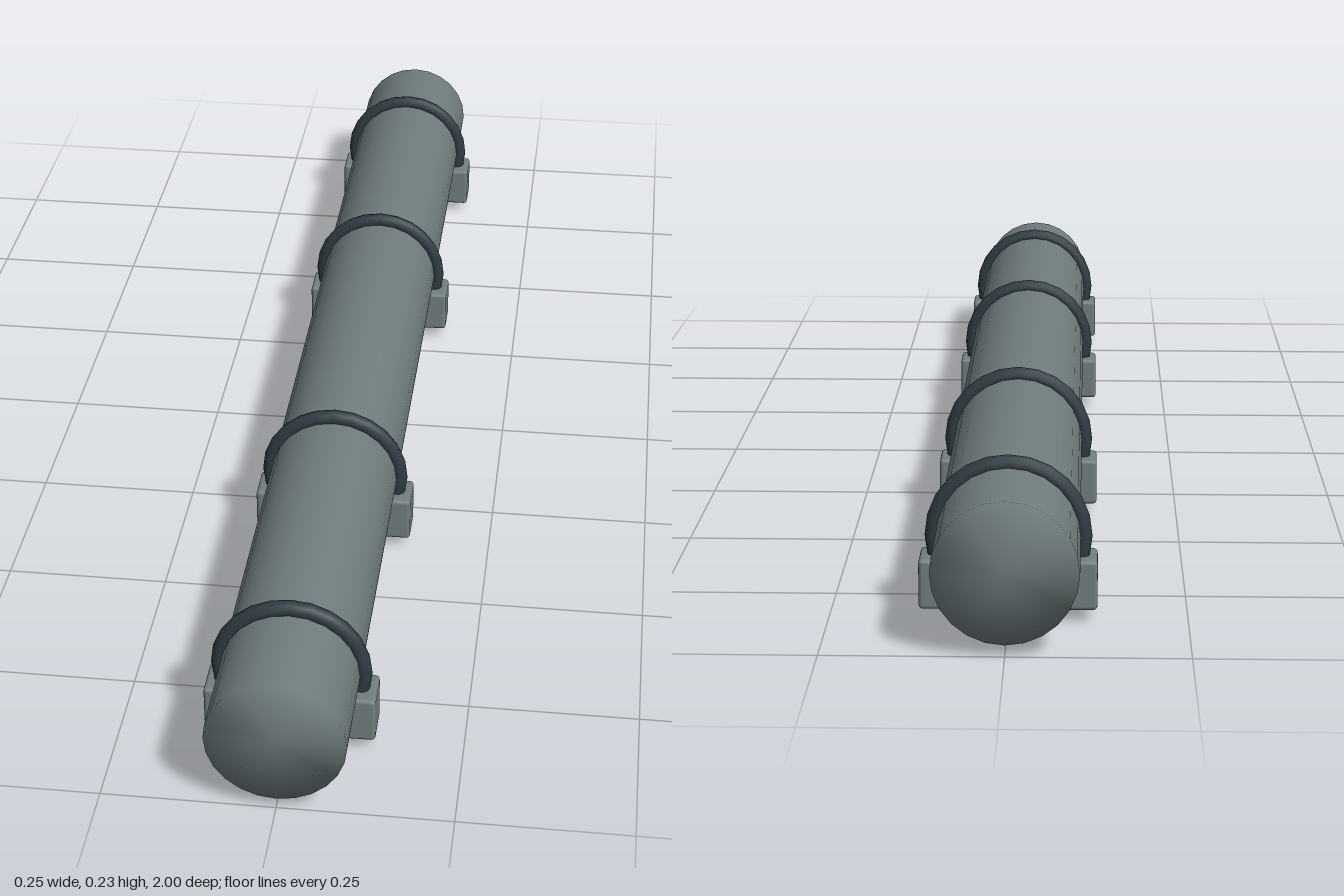
import * as THREE from 'three';
import { mergeVertices } from 'three/addons/utils/BufferGeometryUtils.js';
import { RoundedBoxGeometry } from 'three/addons/geometries/RoundedBoxGeometry.js';

const AXIS_Y = 0.117;

function material(name, color) {
  const m = new THREE.MeshStandardMaterial({ color });
  m.name = name;
  return m;
}

// Welds the rim so that the shading runs smoothly over the ends
function weldedCylinder(radius, length, sides) {
  const g = new THREE.CylinderGeometry(radius, radius, length, sides);
  g.deleteAttribute('normal');
  g.deleteAttribute('uv');
  const welded = mergeVertices(g, 1e-4);
  welded.computeVertexNormals();
  return welded;
}

export function createModel() {
  const model = new THREE.Group();
  model.name = 'clampedPipe';

  const pipeGrey = material('pipe grey', 0x6f7b7c);
  const darkSteel = material('dark steel', 0x2f3b42);
  const bracketGrey = material('bracket grey', 0x727e7e);

  const add = (parent, name, geometry, mat, y, z) => {
    const mesh = new THREE.Mesh(geometry, mat);
    mesh.name = name;
    mesh.position.set(0, y, z);
    parent.add(mesh);
    return mesh;
  };

  // Long pipe along z
  const pipe = add(model, 'pipe', weldedCylinder(0.1, 2, 24), pipeGrey, AXIS_Y, 0);
  pipe.rotation.x = Math.PI / 2;

  // Four supports, each a block with a ring around the pipe
  const ring = new THREE.TorusGeometry(0.104, 0.0125, 10, 24);
  const block = new RoundedBoxGeometry(0.248, 0.072, 0.065, 2, 0.006);
  [0.833, 0.333, -0.333, -0.833].forEach((z, i) => {
    const support = new THREE.Group();
    support.name = `support${i + 1}`;
    support.position.z = z;
    add(support, 'clampRing', ring, darkSteel, AXIS_Y, 0);
    add(support, 'saddleBlock', block, bracketGrey, 0.054, 0);
    model.add(support);
  });

  return model;
}
